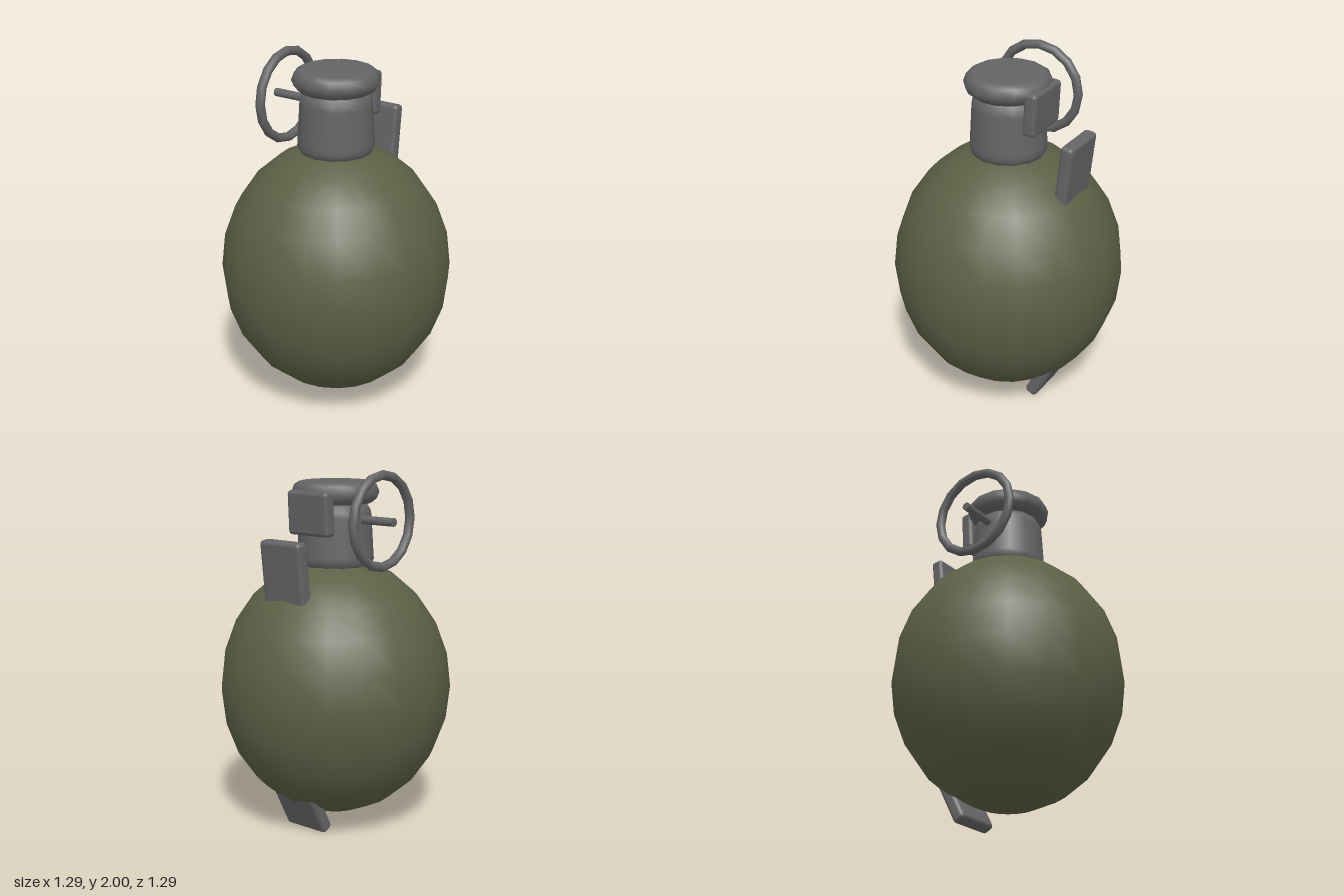
import * as THREE from 'three';
import { RoundedBoxGeometry } from 'three/addons/geometries/RoundedBoxGeometry.js';

export function createModel() {
  const group = new THREE.Group();
  const olive = new THREE.MeshStandardMaterial({ color: 0x5b6045 });
  olive.name = 'olive paint';
  const steel = new THREE.MeshStandardMaterial({ color: 0x646466 });
  steel.name = 'grey steel';

  const add = (name, geometry, material, x = 0, y = 0, z = 0) => {
    const mesh = new THREE.Mesh(geometry, material);
    mesh.name = name;
    mesh.position.set(x, y, z);
    group.add(mesh);
    return mesh;
  };
  const lathe = (profile) =>
    new THREE.LatheGeometry(profile.map(([r, y]) => new THREE.Vector2(r, y)), 14);

  // Egg-shaped shell
  const shell = new THREE.SphereGeometry(0.645, 20, 12);
  shell.scale(1, 0.725 / 0.645, 1);
  add('body', shell, olive, 0, 0.79, 0);

  // Tapered neck with softened rims
  add('neck', lathe([
    [0, 1.46], [0.18, 1.46], [0.2, 1.475], [0.212, 1.505], [0.21, 1.53],
    [0.198, 1.74], [0.193, 1.77], [0.177, 1.8], [0.15, 1.815], [0, 1.815],
  ]), steel);

  // Rounded cap
  add('cap', lathe([
    [0, 1.81], [0.18, 1.81], [0.2, 1.813], [0.225, 1.835], [0.24, 1.87],
    [0.225, 1.91], [0.2, 1.927], [0.185, 1.93], [0, 1.93],
  ]), steel);

  // Pull ring and its pin
  const ring = new THREE.TorusGeometry(0.245, 0.026, 8, 16);
  ring.rotateY(Math.PI / 2);
  add('pullRing', ring, steel, -0.325, 1.73, 0);
  const pin = new THREE.CylinderGeometry(0.023, 0.023, 0.25, 10);
  pin.rotateZ(Math.PI / 2);
  add('pin', pin, steel, -0.28, 1.73, 0);

  // Safety lever plates: name, height, y, z, tilt
  const plates = [
    ['leverTop', 0.24, 1.768, -0.203, -0.05],
    ['leverMiddle', 0.5, 1.392, -0.4, -0.11],
    ['leverBottom', 0.3, 0.148, -0.29, -0.48],
  ];
  for (const [name, height, y, z, tilt] of plates) {
    const plate = new RoundedBoxGeometry(0.28, height, 0.074, 2, 0.022);
    add(name, plate, steel, 0, y, z).rotation.x = tilt;
  }
  return group;
}
